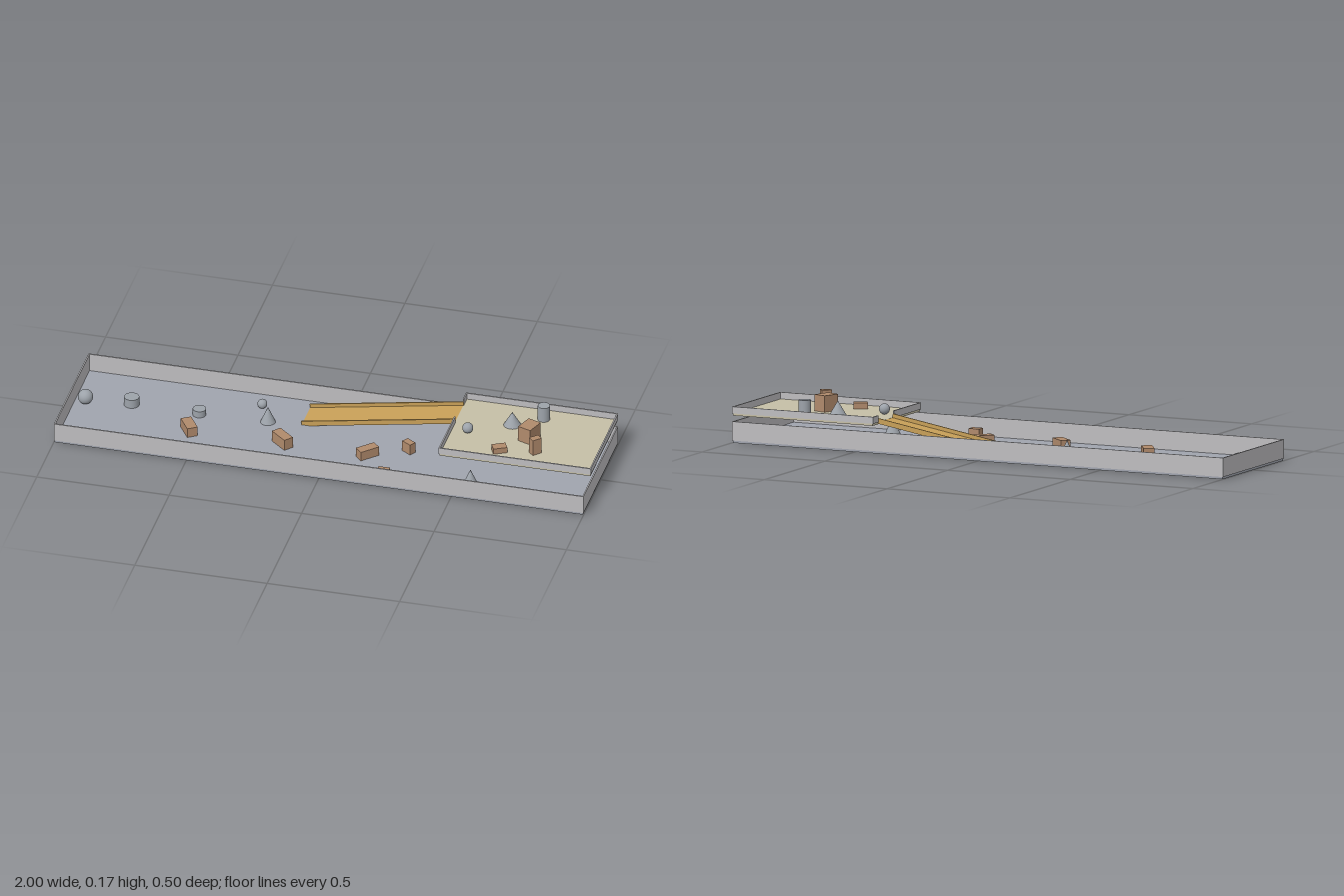
import * as THREE from 'three';

const mat = (name, color) => {
  const m = new THREE.MeshStandardMaterial({ color });
  m.name = name;
  return m;
};

export function createModel() {
  const model = new THREE.Group();
  model.name = 'twoLevelArena';
  const floorGrey = mat('floorGrey', 0xa0a4ae);
  const wallGrey = mat('wallGrey', 0xbebdc0);
  const deckSand = mat('deckSand', 0xc5bfa6);
  const rampOchre = mat('rampOchre', 0xc8a058);
  const crateBrown = mat('crateBrown', 0xb08a6c);
  const stoneGrey = mat('stoneGrey', 0x9da3aa);

  const add = (parent, name, geometry, material, x, y, z) => {
    const mesh = new THREE.Mesh(geometry, material);
    mesh.name = name;
    mesh.position.set(x, y, z);
    parent.add(mesh);
    return mesh;
  };
  // Box given by its lower and upper limits
  const slab = (parent, name, material, x0, x1, y0, y1, z0, z1) =>
    add(parent, name, new THREE.BoxGeometry(x1 - x0, y1 - y0, z1 - z0), material,
      (x0 + x1) / 2, (y0 + y1) / 2, (z0 + z1) / 2);

  const T = 0.005; // wall thickness
  const FLOOR = 0.0085, DECK = 0.109;

  // Lower tray
  const tray = new THREE.Group();
  tray.name = 'lowerTray';
  model.add(tray);
  slab(tray, 'lowerFloor', floorGrey, -0.9975, 0.9975, 0, FLOOR, -0.25, 0.25);
  for (const s of [-1, 1]) {
    slab(tray, 'lowerSideWall', wallGrey, -1, 1, FLOOR, 0.079, s * 0.25 - T / 2, s * 0.25 + T / 2);
    slab(tray, 'lowerEndWall', wallGrey, s * 0.9975 - T / 2, s * 0.9975 + T / 2, FLOOR, 0.079, -0.2475, 0.2475);
  }

  // Raised deck, with a gap in its wall for the ramp
  const deck = new THREE.Group();
  deck.name = 'raisedDeck';
  model.add(deck);
  const top = 0.134;
  slab(deck, 'deckFloor', deckSand, 0.428, 0.9975, 0.101, DECK, -0.25, 0.1425);
  slab(deck, 'deckBackWall', wallGrey, 0.425, 1, DECK, top, -0.2525, -0.2475);
  slab(deck, 'deckFrontWall', wallGrey, 0.425, 1, DECK, top, 0.14, 0.145);
  slab(deck, 'deckEndWall', wallGrey, 0.995, 1, DECK, top, -0.2475, 0.14);
  slab(deck, 'deckEntryWall', wallGrey, 0.425, 0.43, DECK, top, -0.08, 0.14);
  slab(deck, 'deckEntryWall', wallGrey, 0.425, 0.43, DECK, top, -0.2475, -0.207);

  // Sloped ramp with low curbs
  const ramp = new THREE.Group();
  ramp.name = 'ramp';
  const run = 0.58, rise = DECK - FLOOR, length = Math.hypot(run, rise);
  ramp.position.set(-0.15, FLOOR, -0.1435);
  ramp.rotation.z = Math.atan2(rise, run);
  model.add(ramp);
  slab(ramp, 'rampFloor', rampOchre, 0, length, -0.005, 0, -0.0615, 0.0615);
  for (const s of [-1, 1])
    slab(ramp, 'rampCurb', rampOchre, 0, length, -0.005, 0.0145, s * 0.0615 - T / 2, s * 0.0615 + T / 2);

  // Crates: x, z, base, length, width, height, turn in degrees
  for (const [x, z, y, l, w, h, turn] of [
    [-0.537, 0.067, FLOOR, 0.077, 0.04, 0.037, -57],
    [-0.185, 0.067, FLOOR, 0.08, 0.038, 0.043, -41],
    [0.136, 0.067, FLOOR, 0.077, 0.037, 0.036, 45],
    [0.275, 0, FLOOR, 0.042, 0.027, 0.042, -33],
    [0.23, 0.2, FLOOR, 0.043, 0.036, 0.036, 0],
    [0.72, -0.04, DECK, 0.068, 0.053, 0.061, 70],
    [0.635, 0.07, DECK, 0.052, 0.035, 0.022, 27],
    [0.765, 0.047, DECK, 0.038, 0.027, 0.063, 45],
  ]) {
    const crate = add(model, 'crate', new THREE.BoxGeometry(l, h, w), crateBrown, x, y + h / 2, z);
    crate.rotation.y = THREE.MathUtils.degToRad(turn);
  }

  // Drums: x, z, base, radius, height
  for (const [x, z, y, r, h] of [
    [-0.787, -0.06, FLOOR, 0.028, 0.034],
    [-0.53, -0.055, FLOOR, 0.0245, 0.026],
    [0.737, -0.184, DECK, 0.0225, 0.059],
  ]) add(model, 'drum', new THREE.CylinderGeometry(r, r, h, 24), stoneGrey, x, y + h / 2, z);

  // Cones: x, z, base, radius, height
  for (const [x, z, y, r, h] of [
    [-0.275, -0.07, FLOOR, 0.028, 0.063],
    [0.55, 0.163, FLOOR, 0.028, 0.063],
    [0.635, -0.118, DECK, 0.032, 0.054],
  ]) add(model, 'cone', new THREE.ConeGeometry(r, h, 24), stoneGrey, x, y + h / 2, z);

  // Balls: x, z, base, radius
  for (const [x, z, y, r] of [
    [-0.953, -0.027, FLOOR, 0.028],
    [-0.319, -0.157, FLOOR, 0.018],
    [0.491, -0.025, DECK, 0.02],
  ]) add(model, 'ball', new THREE.SphereGeometry(r, 24, 16), stoneGrey, x, y + r, z);

  return model;
}
